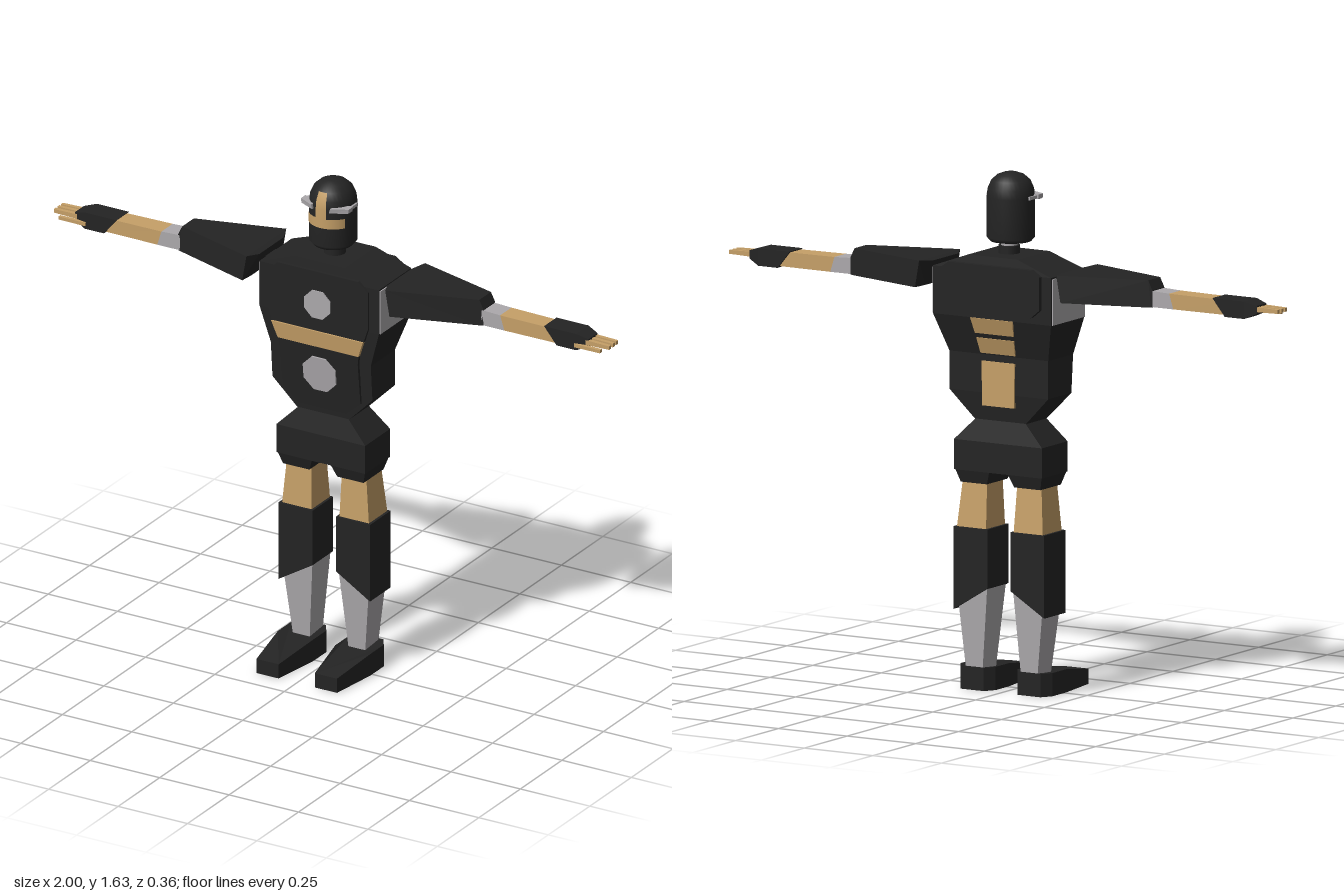
import * as THREE from 'three';

const paint = (name, color) => {
  const m = new THREE.MeshStandardMaterial({ color });
  m.name = name;
  return m;
};

// Rectangular cross-sections: ry lies level at height y, rx stands upright at x
const ry = (y, x0, x1, z0, z1) => [[x0, y, z1], [x1, y, z1], [x1, y, z0], [x0, y, z0]];
const rx = (x, y0, y1, z0, z1) => [[x, y0, z1], [x, y0, z0], [x, y1, z0], [x, y1, z1]];

// Joins a series of cross-sections into a closed, flat-faced solid
function loft(rings) {
  const pos = [];
  const n = rings[0].length;
  const tri = (...pts) => pts.forEach((p) => pos.push(...p));
  for (let k = 0; k < rings.length - 1; k++) {
    const a = rings[k], b = rings[k + 1];
    for (let i = 0; i < n; i++) {
      const j = (i + 1) % n;
      tri(a[i], a[j], b[j]);
      tri(a[i], b[j], b[i]);
    }
  }
  const first = rings[0], last = rings[rings.length - 1];
  for (let i = 1; i < n - 1; i++) {
    tri(first[0], first[i + 1], first[i]);
    tri(last[0], last[i], last[i + 1]);
  }
  const g = new THREE.BufferGeometry();
  g.setAttribute('position', new THREE.Float32BufferAttribute(pos, 3));
  g.computeVertexNormals();
  return g;
}

// Mirrors a flat-faced solid to the other side, keeping its faces outward
function mirrored(geo) {
  const p = geo.attributes.position, pos = [];
  for (let i = 0; i < p.count; i += 3)
    for (const k of [i, i + 2, i + 1]) pos.push(-p.getX(k), p.getY(k), p.getZ(k));
  const g = new THREE.BufferGeometry();
  g.setAttribute('position', new THREE.Float32BufferAttribute(pos, 3));
  g.computeVertexNormals();
  return g;
}

// Symmetrical plate from right-hand outline points, laid on a surface z = zOf(y)
function plate(half, depth, zOf) {
  const pts = [...half, ...half.map(([x, y]) => [-x, y]).reverse()];
  const shape = new THREE.Shape(pts.map(([x, y]) => new THREE.Vector2(x, y)));
  const g = new THREE.ExtrudeGeometry(shape, { depth, bevelEnabled: false });
  const p = g.attributes.position;
  for (let i = 0; i < p.count; i++) p.setZ(i, p.getZ(i) + zOf(p.getY(i)));
  g.computeVertexNormals();
  return g;
}

export function createModel() {
  const black = paint('black armour', 0x242424);
  const gold = paint('gold', 0xc6a068);
  const grey = paint('light grey', 0xaca9ac);
  const root = new THREE.Group();
  root.name = 'robot';

  const add = (name, geo, mat) => {
    const m = new THREE.Mesh(geo, mat);
    m.name = name;
    root.add(m);
    return m;
  };
  const pair = (name, geo, mat) => {
    add('left ' + name, geo, mat);
    add('right ' + name, mirrored(geo), mat);
  };

  // Torso
  add('torso', loft([
    ry(0.85, -0.09, 0.09, -0.105, 0.015),
    ry(0.94, -0.18, 0.18, -0.115, 0.02),
    ry(1.06, -0.18, 0.18, -0.115, 0.03),
    ry(1.18, -0.215, 0.215, -0.155, 0.04),
    ry(1.33, -0.215, 0.215, -0.155, 0.04),
    ry(1.375, -0.09, 0.09, -0.15, 0.035),
  ]), black);
  pair('torso side panel', loft([
    ry(1.18, 0.213, 0.219, -0.15, 0.036),
    ry(1.325, 0.213, 0.219, -0.15, 0.036),
  ]), grey);

  // Chest and belly plates, with the gold band between them
  const bellyZ = (y) => 0.042 - 0.117 * (1.147 - y);
  add('chest plate', plate([[0.165, 1.145], [0.18, 1.19], [0.18, 1.315], [0.145, 1.345]], 0.012, () => 0.036), black);
  add('chest band', plate([[0.145, 1.09], [0.165, 1.145]], 0.012, bellyZ), gold);
  add('belly plate', plate([[0.085, 0.872], [0.14, 0.92], [0.14, 1.06], [0.145, 1.09]], 0.01, bellyZ), black);
  for (const [name, y, r, z, tilt] of [
    ['chest disc', 1.235, 0.05, 0.048, 0],
    ['belly disc', 0.995, 0.063, 0.035, 0.117],
  ]) {
    const g = new THREE.CylinderGeometry(r, r, 0.009, 8).toNonIndexed();
    g.rotateY(Math.PI / 8).rotateX(Math.PI / 2 + tilt).translate(0, y, z);
    g.computeVertexNormals();
    add(name, g, grey);
  }

  // Back plate and gold back panels
  add('upper back plate', plate([[0.15, 1.2], [0.18, 1.225], [0.18, 1.33], [0.15, 1.35]], 0.02, () => -0.17), black);
  const backZ = (y) => -0.12 - Math.max(0, y - 1.06) * 0.333;
  for (const [i, [x0, y0, x1, y1]] of [
    [0.058, 0.9, 0.06, 1.04], [0.063, 1.065, 0.068, 1.115], [0.07, 1.13, 0.077, 1.18],
  ].entries())
    add('back panel ' + (i + 1), plate([[x0, y0], [x1, y1]], 0.009, backZ), gold);

  // Neck and head
  const cyl = (r, h, y) => new THREE.CylinderGeometry(r, r, h, 16).translate(0, y, -0.055);
  add('neck collar', cyl(0.034, 0.03, 1.385), black);
  add('neck', cyl(0.026, 0.04, 1.405), grey);
  const turned = (pts, a, len, seg) => new THREE.LatheGeometry(
    pts.map(([r, y]) => new THREE.Vector2(r, y)), seg, a, len).translate(0, 0, -0.045);
  add('head', turned([
    [0, 1.41], [0.064, 1.412], [0.075, 1.425], [0.075, 1.55], [0.072, 1.577],
    [0.061, 1.602], [0.042, 1.619], [0.02, 1.627], [0, 1.629],
  ], 0, Math.PI * 2, 32), black);
  add('mouth guard', turned([[0.077, 1.488], [0.077, 1.52]], -1.02, 2.04, 16), gold);
  add('face crest', turned([
    [0.0775, 1.515], [0.0775, 1.55], [0.0745, 1.578], [0.063, 1.604],
  ], -0.24, 0.48, 4), gold);
  // Visor: a grey strip over each eye running back along the temple
  pair('visor', loft([
    ry(1.545, 0.03, 0.084, -0.02, 0.025),
    ry(1.56, 0.034, 0.086, -0.02, 0.025),
  ].map((r) => r.map(([x, y, z]) => [x, y, z > 0 ? (x < 0.05 ? 0.032 : 0.006) : z]))), grey);
  pair('visor arm', loft([
    ry(1.547, 0.066, 0.08, -0.06, 0),
    ry(1.557, 0.066, 0.08, -0.06, 0),
  ]), grey);

  // Arms
  pair('shoulder joint', loft([
    rx(0.21, 1.275, 1.315, -0.09, -0.03), rx(0.235, 1.275, 1.315, -0.09, -0.03),
  ]), black);
  pair('shoulder link', loft([
    rx(0.225, 1.268, 1.3, -0.085, -0.04), rx(0.29, 1.268, 1.3, -0.085, -0.04),
  ]), grey);
  const slant = (ring, dx) => ring.map(([x, y, z], i) => [i < 2 ? x + dx : x, y, z]);
  pair('upper arm', loft([
    slant(rx(0.23, 1.26, 1.34, -0.13, 0.015), 0.03),
    slant(rx(0.25, 1.26, 1.345, -0.18, 0.06), 0.015),
    slant(rx(0.535, 1.26, 1.345, -0.1, -0.03), 0.01),
    rx(0.55, 1.262, 1.315, -0.1, -0.03),
  ]), black);
  pair('elbow', loft([
    rx(0.54, 1.262, 1.313, -0.098, -0.03), slant(rx(0.61, 1.262, 1.31, -0.098, -0.03), 0.015),
  ]), grey);
  pair('forearm', loft([
    slant(rx(0.61, 1.262, 1.31, -0.098, -0.03), 0.015), rx(0.84, 1.262, 1.308, -0.095, -0.032),
  ]), gold);
  pair('hand', loft([
    slant(rx(0.77, 1.257, 1.312, -0.102, -0.027), 0.045),
    rx(0.885, 1.257, 1.312, -0.102, -0.027),
    rx(0.925, 1.275, 1.3, -0.09, -0.035),
  ]), black);
  for (const [i, z] of [-0.083, -0.062, -0.04].entries())
    pair('finger ' + (i + 1), loft([
      rx(0.91, 1.28, 1.296, z - 0.007, z + 0.007), rx(1, 1.282, 1.294, z - 0.006, z + 0.006),
    ]), gold);
  pair('thumb', loft([
    rx(0.88, 1.268, 1.28, -0.034, -0.022), rx(0.975, 1.27, 1.28, -0.032, -0.02),
  ]), gold);

  // Pelvis and hip sockets
  add('pelvis', loft([
    ry(0.69, -0.16, 0.16, -0.12, 0.03),
    ry(0.785, -0.16, 0.16, -0.12, 0.03),
    ry(0.855, -0.09, 0.09, -0.105, 0.015),
  ]), black);
  pair('hip socket', loft([
    ry(0.65, 0.05, 0.145, -0.105, 0.015), ry(0.7, 0.03, 0.16, -0.12, 0.03),
  ]), black);

  // Legs
  pair('thigh', loft([
    ry(0.5, 0.05, 0.157, -0.11, 0.002), ry(0.66, 0.055, 0.143, -0.095, -0.005),
  ]), gold);
  const hem = ry(0.25, 0.042, 0.165, -0.115, 0.01).map(([x, y, z]) => [x, x < 0.1 ? 0.325 : y, z]);
  pair('shin guard', loft([hem, ry(0.51, 0.042, 0.165, -0.115, 0.01)]), black);
  pair('calf', loft([
    ry(0.06, 0.07, 0.13, -0.098, -0.02), ry(0.34, 0.046, 0.16, -0.108, 0.003),
  ]), grey);

  // Feet: chamfered heel, wide instep, narrow lowered toe
  const sole = [[0.065, 0.175], [0.145, 0.175], [0.167, 0.01], [0.167, -0.07],
    [0.145, -0.105], [0.062, -0.105], [0.04, -0.07], [0.04, 0.01]];
  pair('foot', loft([
    sole.map(([x, z]) => [x, 0, z]),
    sole.map(([x, z]) => [x, z > 0.1 ? 0.048 : 0.073, z]),
  ]), black);

  return root;
}
